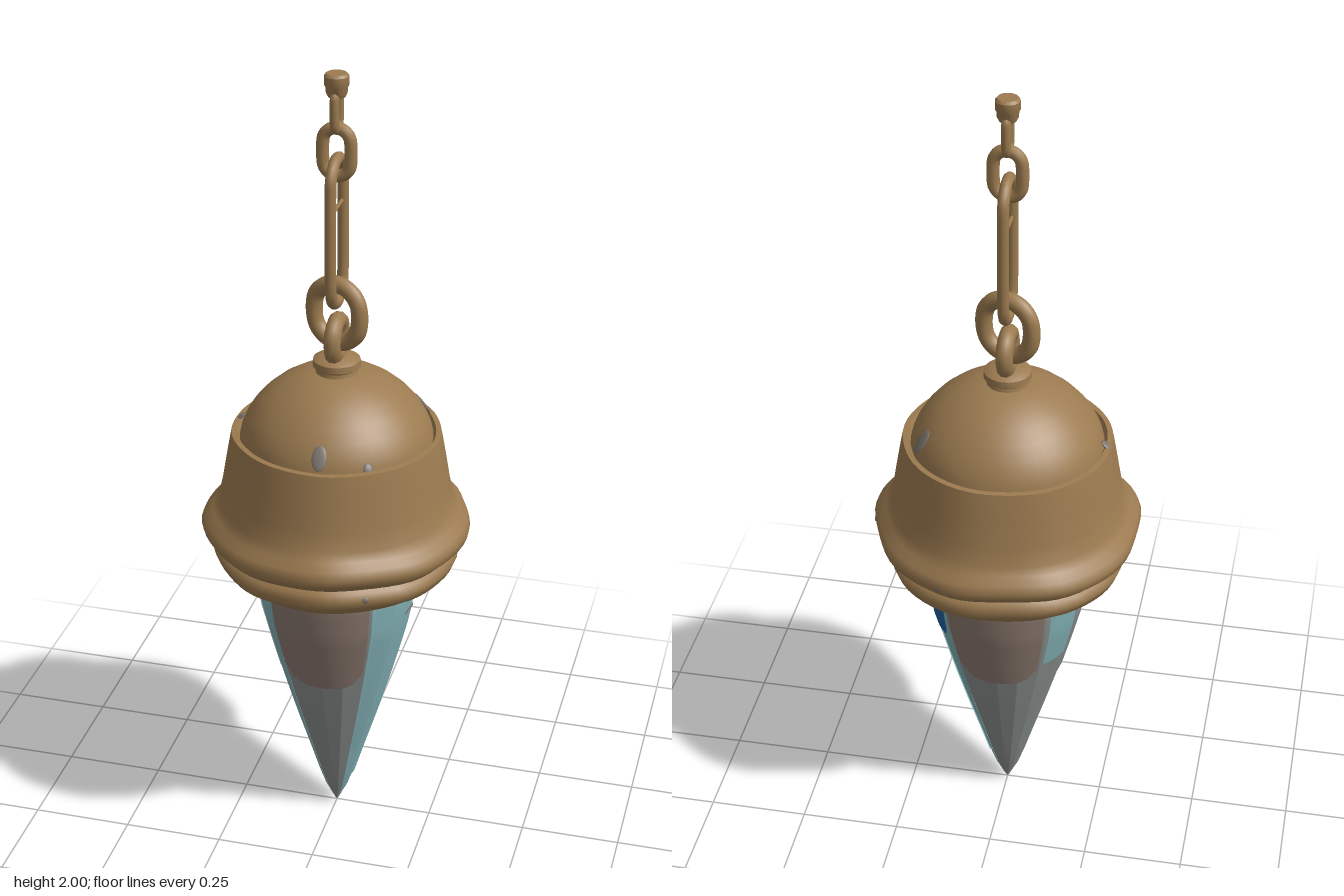
import * as THREE from 'three';
import { toCreasedNormals } from 'three/addons/utils/BufferGeometryUtils.js';
import { ParametricGeometry } from 'three/addons/geometries/ParametricGeometry.js';

const mat = (name, color, side = THREE.FrontSide) => {
  const m = new THREE.MeshStandardMaterial({ color, side });
  m.name = name;
  return m;
};
const rad = THREE.MathUtils.degToRad;
const vec2 = (pts) => pts.map(([x, y]) => new THREE.Vector2(x, y));

// Radius of the pointed glass at each height
const GLASS = [[0, 0], [0.014, 0.02], [0.04, 0.09], [0.07, 0.19], [0.104, 0.3], [0.136, 0.41],
  [0.163, 0.51], [0.188, 0.61], [0.2, 0.7], [0.2, 0.78]];
function glassRadius(y) {
  for (let i = 1; i < GLASS.length; i++) {
    const [r0, y0] = GLASS[i - 1], [r1, y1] = GLASS[i];
    if (y <= y1) return r0 + (r1 - r0) * (y - y0) / (y1 - y0);
  }
  return 0.2;
}

export function createModel() {
  const model = new THREE.Group();
  const bronze = mat('bronze', 0x9c7b50, THREE.DoubleSide);
  const teal = mat('teal glass', 0x84b3b8, THREE.DoubleSide);
  const grey = mat('grey glass', 0x8a8f8c, THREE.DoubleSide);
  const brown = mat('brown glass', 0x8d7a70, THREE.DoubleSide);
  const blue = mat('blue glass', 0x1f62a3, THREE.DoubleSide);
  const hollow = mat('hollow grey', 0x7d746c);

  const add = (name, geometry, material, y = 0) => {
    const mesh = new THREE.Mesh(geometry, material);
    mesh.name = name;
    mesh.position.y = y;
    model.add(mesh);
    return mesh;
  };

  // Bell cap with a slightly hammered brim
  const cap = new THREE.LatheGeometry(vec2([[0.17, 0.76], [0.2, 0.745], [0.27, 0.742], [0.293, 0.762], [0.302, 0.785],
    [0.295, 0.803], [0.286, 0.81], [0.305, 0.822], [0.326, 0.843], [0.33, 0.862], [0.322, 0.882],
    [0.303, 0.897], [0.291, 0.92], [0.28, 0.965], [0.269, 1.03], [0.26, 1.08], [0.255, 1.105],
    [0.242, 1.106], [0.235, 1.09]]), 64);
  const p = cap.attributes.position;
  for (let i = 0; i < p.count; i++) {
    const x = p.getX(i), y = p.getY(i), z = p.getZ(i);
    const a = Math.atan2(x, z);
    const w = y < 0.91 && y > 0.75 ? 1 : 0.4;
    const k = 1 + w * (0.009 * Math.sin(5 * a + 1) + 0.007 * Math.sin(9 * a));
    p.setXYZ(i, x * k, y + (w === 1 ? 0.005 * Math.sin(4 * a + 0.6) : 0), z * k);
  }
  add('bellCap', toCreasedNormals(cap, 0.8), bronze);

  // Dome and the boss on top of it
  add('dome', new THREE.LatheGeometry(vec2([[0.237, 1.085], [0.232, 1.11], [0.222, 1.135], [0.205, 1.163],
    [0.18, 1.192], [0.15, 1.218], [0.115, 1.24], [0.075, 1.256], [0.035, 1.263], [0, 1.265]]), 48), bronze);
  add('boss', toCreasedNormals(new THREE.LatheGeometry(vec2([[0.062, 1.245], [0.05, 1.262], [0.05, 1.27], [0.058, 1.276],
    [0.057, 1.292], [0.04, 1.302], [0, 1.304]]), 24), 0.7), bronze);

  // Dents and wear holes: angle, radius, height, backward tilt, width, height
  [[4, 0.222, 1.135, 0.55, 0.036, 0.062], [122, 0.22, 1.14, 0.6, 0.038, 0.066],
    [270, 0.243, 1.106, 0.9, 0.026, 0.034], [33, 0.234, 1.108, 0.5, 0.024, 0.03],
    [28, 0.296, 0.79, 0, 0.02, 0.016], [100, 0.326, 0.853, 0, 0.016, 0.014],
    [160, 0.327, 0.853, 0, 0.02, 0.018], [205, 0.296, 0.79, 0, 0.02, 0.016],
    [300, 0.327, 0.855, 0, 0.018, 0.014]].forEach(([a, r, y, tilt, w, h]) => {
    const dent = add('wearHole', new THREE.SphereGeometry(0.5, 14, 8), hollow, y);
    dent.position.x = r * Math.sin(rad(a));
    dent.position.z = r * Math.cos(rad(a));
    dent.rotation.set(-tilt, rad(a), 0, 'YXZ');
    dent.scale.set(w, h, 0.009);
  });

  // Glass panel over an arc of the cone; round lifts its lower corners
  const panel = (name, material, a0, a1, y0, y1, lift = 0, round = 0) => {
    const slices = Math.max(2, Math.round((a1 - a0) / 22)) * (round ? 3 : 1);
    const geo = new ParametricGeometry((u, v, out) => {
      const a = rad(a0 + (a1 - a0) * u);
      const bottom = y0 + round * Math.pow(Math.abs(2 * u - 1), 5);
      const y = bottom + (y1 - bottom) * v;
      const r = glassRadius(y) + lift;
      out.set(r * Math.sin(a), y, r * Math.cos(a));
    }, slices, 14);
    return add(name, toCreasedNormals(geo, 0.3), material);
  };

  // Inner core closes the gaps between panels
  add('glassCore', new THREE.LatheGeometry(vec2(GLASS.map(([r, y]) => [r * 0.93, y + 0.004])), 16), grey);

  // Front and back faces: grey point with a brown shield above
  for (const a of [0, 180]) {
    panel('greyPanel', grey, a - 41, a + 41, 0, 0.78);
    panel('brownShield', brown, a - 38, a + 38, 0.445, 0.78, 0.004, 0.045);
  }

  // Left face: teal, with a streak and a blue shard
  panel('tealPanel', teal, 41, 139, 0, 0.78, 0.001);
  panel('tealCentre', teal, 62, 116, 0.1, 0.78, 0.004);
  panel('tealLowerEdge', teal, 43, 60, 0.2, 0.49, 0.004);
  panel('tealUpperEdge', teal, 43, 60, 0.5, 0.78, 0.004);
  panel('brownStreak', brown, 74, 106, 0.632, 0.642, 0.006);
  panel('blueShard', blue, 119, 138, 0.57, 0.68, 0.007, 0.03);

  // Right face: teal and grey pieces
  panel('greyPanelRight', grey, 221, 286, 0, 0.78, 0.001);
  panel('tealShard', teal, 223, 250, 0.5, 0.78, 0.005);
  panel('greyUpperPiece', grey, 252, 284, 0.42, 0.78, 0.005);
  panel('tealEdgeRight', teal, 286, 319, 0, 0.78, 0.001);

  // Chain link: closed oval tube, yaw 0 lies across x
  const link = (name, y0, y1, halfWidth, tube, yaw) => {
    const r = halfWidth - tube;
    const straight = Math.max(0, (y1 - y0) / 2 - tube - r);
    const pts = [];
    for (const side of [1, -1]) {
      for (let i = 0; i <= 8; i++) {
        const a = Math.PI * i / 8;
        if (straight < 0.002 && i === 8) continue;
        pts.push(new THREE.Vector3(side * r * Math.cos(a), side * (straight + r * Math.sin(a)), 0));
      }
    }
    const curve = new THREE.CatmullRomCurve3(pts, true);
    add(name, new THREE.TubeGeometry(curve, 64, tube, 10, true), bronze, (y0 + y1) / 2).rotation.y = yaw;
  };
  const across = Math.PI / 2;
  link('bossRing', 1.28, 1.41, 0.065, 0.021, across);
  link('largeLink', 1.315, 1.505, 0.084, 0.021, -0.3);
  link('longLink', 1.425, 1.81, 0.071, 0.014, across);
  link('smallLink', 1.74, 1.885, 0.049, 0.015, -0.1);
  link('topLink', 1.855, 1.97, 0.032, 0.011, across);

  // Thin bar across the long link
  add('linkBar', new THREE.CylinderGeometry(0.005, 0.005, 0.11, 8), bronze, 1.677).rotation.x = across;

  // Chain end cap
  add('chainEnd', toCreasedNormals(new THREE.LatheGeometry(vec2([[0, 1.945], [0.02, 1.945], [0.025, 1.955], [0.026, 1.968],
    [0.029, 1.974], [0.029, 1.994], [0.024, 2], [0, 2]]), 16), 0.6), bronze);

  return model;
}
